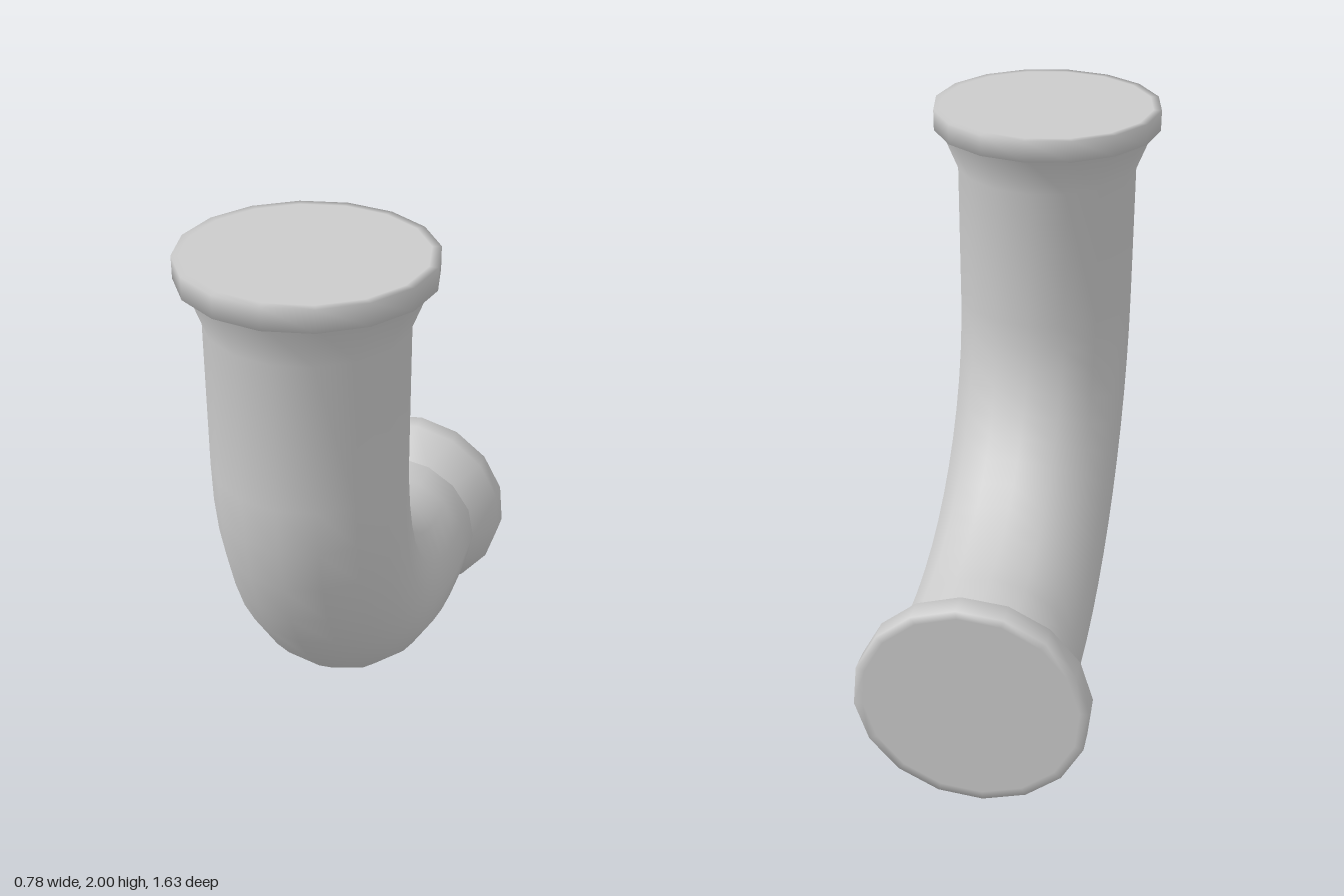
import * as THREE from 'three';

const SIDES = 16;
const X = new THREE.Vector3(1, 0, 0);
const DOWN = new THREE.Vector3(0, -1, 0);
const BACK = new THREE.Vector3(0, 0, -1);
const TILT = new THREE.Vector3(-0.025, 0.012, -1).normalize(); // end flange axis, slightly askew

// One cross-section: centre in the y/z plane, axis it is square to, radius, twist
const ring = (y, z, axis, radius, spin = 0) =>
  ({ centre: new THREE.Vector3(0, y, z), axis, radius, spin });

// Smooth skin over a row of rings
function loft(name, rings, material) {
  const pos = [], index = [];
  for (const { centre, axis, radius, spin } of rings) {
    const u = X.clone().addScaledVector(axis, -X.dot(axis)).normalize();
    const v = axis.clone().cross(u);
    for (let j = 0; j < SIDES; j++) {
      const a = (j / SIDES) * Math.PI * 2 + spin;
      const p = centre.clone()
        .addScaledVector(u, radius * Math.cos(a))
        .addScaledVector(v, radius * Math.sin(a));
      pos.push(p.x, p.y, p.z);
    }
  }
  for (let i = 0; i < rings.length - 1; i++) {
    for (let j = 0; j < SIDES; j++) {
      const k = (j + 1) % SIDES;
      const a = i * SIDES + j, b = i * SIDES + k;
      index.push(a, b, a + SIDES, b, b + SIDES, a + SIDES);
    }
  }
  const geometry = new THREE.BufferGeometry();
  geometry.setAttribute('position', new THREE.Float32BufferAttribute(pos, 3));
  geometry.setIndex(index);
  geometry.computeVertexNormals();
  const mesh = new THREE.Mesh(geometry, material);
  mesh.name = name;
  return mesh;
}

export function createModel() {
  const group = new THREE.Group();
  group.name = 'pipeElbow';
  const material = new THREE.MeshStandardMaterial({ color: 0xcccccc });

  // Pipe: flared neck, straight drop, quarter bend, short straight run
  const R = 0.31, BEND = 0.93, STEPS = 12;
  const pipe = [
    ring(1.93, 0.425, DOWN, 0.365),
    ring(1.79, 0.43, DOWN, R),
  ];
  for (let i = 0; i <= STEPS; i++) {
    const a = (i / STEPS) * Math.PI / 2;
    const axis = new THREE.Vector3(0, -Math.cos(a), -Math.sin(a));
    pipe.push(ring(1.305 - BEND * Math.sin(a), -0.5 + BEND * Math.cos(a), axis, R));
  }
  pipe.push(ring(0.375, -0.63, BACK, R));
  group.add(loft('pipe', pipe, material));

  // Top flange: closed disc with a small step under its rim
  group.add(loft('topFlange', [
    ring(2, 0.425, DOWN, 0),
    ring(2, 0.425, DOWN, 0.36),
    ring(2, 0.425, DOWN, 0.388),
    ring(1.93, 0.425, DOWN, 0.388),
    ring(1.93, 0.425, DOWN, 0.34),
  ], material));

  // End flange: cone out from the pipe, rim and closed face
  const spin = 0.1;
  group.add(loft('endFlange', [
    ring(0.375, -0.63, BACK, R),
    ring(0.391, -0.735, TILT, 0.39, spin),
    ring(0.391, -0.808, TILT, 0.39, spin),
    ring(0.391, -0.808, TILT, 0.36, spin),
    ring(0.391, -0.808, TILT, 0, spin),
  ], material));

  return group;
}
